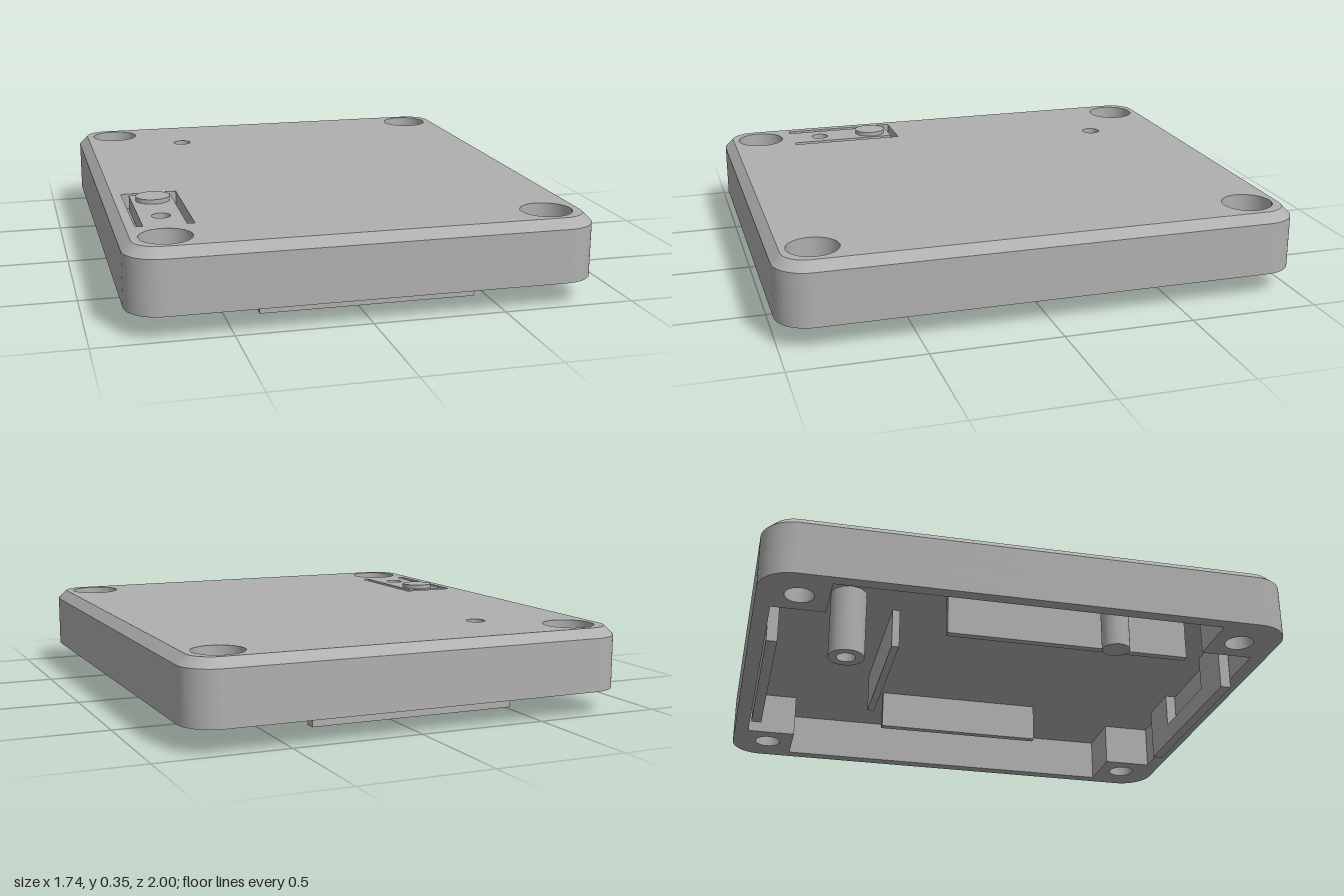
import * as THREE from 'three';
import { toCreasedNormals } from 'three/addons/utils/BufferGeometryUtils.js';

const HX = 0.87, HZ = 1, R = 0.13;      // half width, half depth, corner radius
const CHAMFER = 0.035;
const Y = { rim: 0.09, seat: 0.2, ceiling: 0.27, edge: 0.295, top: 0.33 };
const SCREW = { x: 0.71, z: 0.845, hole: 0.055, bore: 0.097 };
const SIGNS = [[1, 1], [-1, 1], [-1, -1], [1, -1]];

// Plan shapes use x and z
function roundedRect() {
  const s = new THREE.Shape();
  SIGNS.forEach(([sx, sz], i) => {
    const a = i * Math.PI / 2;
    s.absarc(sx * (HX - R), sz * (HZ - R), R, a, a + Math.PI / 2, false);
  });
  s.closePath();
  return s;
}

function circle(x, z, r) {
  return new THREE.Path().absarc(x, z, r, 0, Math.PI * 2, true);
}

function polygon(points) {
  return new THREE.Path(points.map(([x, z]) => new THREE.Vector2(x, z)));
}

const screwHoles = (r) => SIGNS.map(([sx, sz]) => circle(sx * SCREW.x, sz * SCREW.z, r));

// Cavity outline that leaves a square post in each corner
function cavity() {
  const wx = 0.82, wz = 0.94, px = 0.6, pz = 0.737;
  return polygon([
    [wx, -pz], [wx, pz], [px, pz], [px, wz], [-px, wz], [-px, pz],
    [-wx, pz], [-wx, -pz], [-px, -pz], [-px, -wz], [px, -wz], [px, -pz],
  ]);
}

// Extrudes a plan shape between two heights
function slab(shape, holes, y0, y1) {
  shape.holes.push(...holes);
  const g = new THREE.ExtrudeGeometry(shape, { depth: y1 - y0, bevelEnabled: false, curveSegments: 14 });
  g.rotateX(Math.PI / 2);
  g.translate(0, y1, 0);
  return g;
}

// Pulls the upper outer edge inward to make the chamfer
function chamferTop(g) {
  const p = g.attributes.position;
  for (let i = 0; i < p.count; i++) {
    if (p.getY(i) < Y.top - 1e-4) continue;
    const x = p.getX(i), z = p.getZ(i);
    const qx = THREE.MathUtils.clamp(x, R - HX, HX - R);
    const qz = THREE.MathUtils.clamp(z, R - HZ, HZ - R);
    if (Math.hypot(x - qx, z - qz) < R - 1e-3) continue;
    const k = (R - CHAMFER) / R;
    p.setX(i, qx + (x - qx) * k);
    p.setZ(i, qz + (z - qz) * k);
  }
  g.computeVertexNormals();
  return g;
}

export function createModel() {
  const model = new THREE.Group();
  model.name = 'enclosureLid';
  const grey = new THREE.MeshStandardMaterial({ color: 0xb0b0b0 });
  grey.name = 'greyPlastic';

  const add = (name, geometry) => {
    const mesh = new THREE.Mesh(toCreasedNormals(geometry, 0.5), grey);
    mesh.name = name;
    model.add(mesh);
  };
  const box = (name, x0, x1, y0, y1, z0, z1) => {
    const g = new THREE.BoxGeometry(x1 - x0, y1 - y0, z1 - z0);
    add(name, g.translate((x0 + x1) / 2, (y0 + y1) / 2, (z0 + z1) / 2));
  };
  const post = (name, x, z, r, y0, y1) => {
    const g = new THREE.CylinderGeometry(r, r, y1 - y0, 40);
    add(name, g.translate(x, (y0 + y1) / 2, z));
  };

  // Side walls with corner posts, countersunk for screws
  add('lowerWall', slab(roundedRect(), [cavity(), ...screwHoles(SCREW.hole)], Y.rim, Y.seat));
  add('upperWall', slab(roundedRect(), [cavity(), ...screwHoles(SCREW.bore)], Y.seat, Y.ceiling));

  // Top plate with light hole and the slot that frees the button arm
  const plateHoles = () => [
    ...screwHoles(SCREW.bore),
    circle(-0.425, -0.635, 0.037),
    circle(-0.69, 0.58, 0.035),
    polygon([[-0.8, 0.705], [-0.8, 0.24], [-0.585, 0.24], [-0.585, 0.705],
      [-0.613, 0.705], [-0.613, 0.268], [-0.772, 0.268], [-0.772, 0.705]]),
  ];
  add('topPlate', slab(roundedRect(), plateHoles(), Y.ceiling, Y.edge));
  add('chamferedTop', chamferTop(slab(roundedRect(), plateHoles(), Y.edge, Y.top)));

  // Button cap and plunger on the flexible arm
  post('buttonCap', -0.69, 0.35, 0.065, Y.top - 0.005, 0.347);
  post('buttonPlunger', -0.69, 0.35, 0.053, 0.015, Y.ceiling);

  // Hollow light tube
  const tube = new THREE.Shape().absarc(-0.425, -0.635, 0.07, 0, Math.PI * 2, false);
  add('lightTube', slab(tube, [circle(-0.425, -0.635, 0.037)], 0, Y.ceiling));

  // Locating tongues along the front and back walls
  for (const [side, s] of [['front', 1], ['back', -1]]) {
    const z0 = Math.min(s * 0.895, s * 0.937), z1 = Math.max(s * 0.895, s * 0.937);
    box(side + 'Tongue', -0.2, 0.2, 0.05, 0.13, z0, z1);
    box(side + 'TongueLeftEnd', 0.2, 0.4, 0.05, Y.ceiling, z0, z1);
    box(side + 'TongueRightEnd', -0.4, -0.2, 0.05, Y.ceiling, z0, z1);
  }

  // Ribs holding the circuit board
  box('leftRib', 0.455, 0.485, 0.11, Y.ceiling, -0.36, 0.34);
  box('rightRib', -0.505, -0.475, 0.11, Y.ceiling, -0.26, 0.71);
  box('backRib', -0.34, 0.3, 0.11, Y.ceiling, -0.45, -0.42);

  return model;
}
